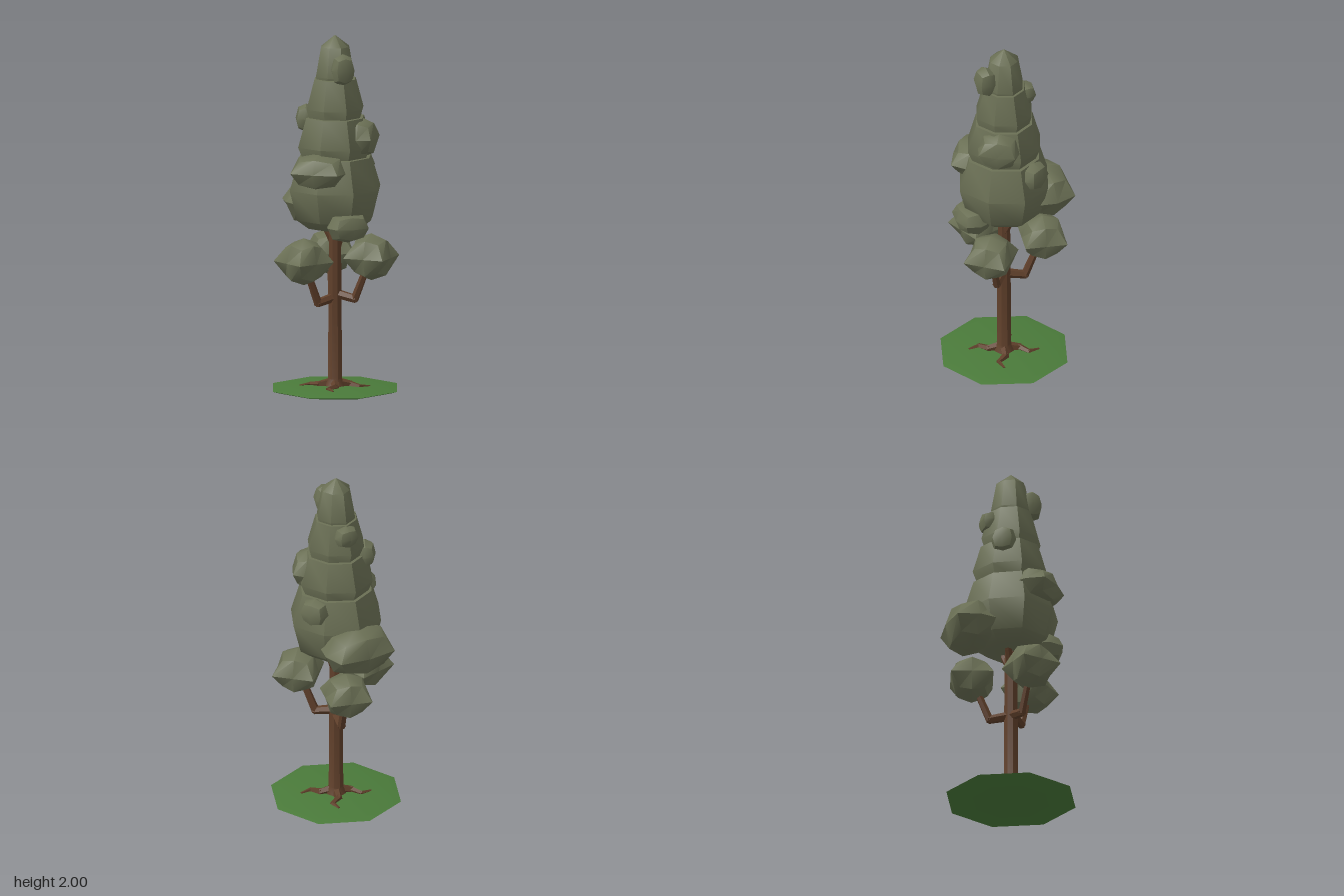
import * as THREE from 'three';
import { toCreasedNormals } from 'three/addons/utils/BufferGeometryUtils.js';

const mat = (name, color) => new THREE.MeshStandardMaterial({ name, color });

export function createModel() {
  const tree = new THREE.Group();
  tree.name = 'tree';
  const leaf = mat('olive foliage', 0x6b7055);
  const bark = mat('brown bark', 0x5f3f2a);
  const grass = mat('grass green', 0x4a7a3a);

  const add = (geometry, material, name, crease = 0.78) => {
    const mesh = new THREE.Mesh(toCreasedNormals(geometry, crease), material);
    mesh.name = name;
    tree.add(mesh);
    return mesh;
  };

  // eight-sided turned solid; the diagonal corners are pushed out a little
  const octagon = (profile, diagonal) => {
    const g = new THREE.LatheGeometry(profile.map(([r, y]) => new THREE.Vector2(r, y)), 8);
    const p = g.attributes.position;
    for (let i = 0; i < p.count; i++) {
      const x = p.getX(i), z = p.getZ(i);
      if (Math.abs(x) > 1e-4 && Math.abs(z) > 1e-4) p.setXYZ(i, x * diagonal, p.getY(i), z * diagonal);
    }
    return g;
  };

  // rounded leaf clump: a 2x2x2 box with edges and corners drawn in
  const clump = (name, pos, size, turn = 0, rim = 0.78) => {
    const g = new THREE.BoxGeometry(2, 2, 2, 2, 2, 2);
    const p = g.attributes.position;
    const v = new THREE.Vector3();
    for (let i = 0; i < p.count; i++) {
      v.fromBufferAttribute(p, i);
      const n = Math.round(Math.abs(v.x) + Math.abs(v.y) + Math.abs(v.z));
      const k = n === 3 ? 0.6 : n === 2 ? (Math.abs(v.y) < 0.1 ? rim : 0.75) : 1;
      v.multiplyScalar(k);
      p.setXYZ(i, v.x * size[0], v.y * size[1], v.z * size[2]);
    }
    const mesh = add(g, leaf, name);
    mesh.position.set(...pos);
    mesh.rotation.y = turn;
  };

  // tapering limb through a few points
  const limb = (name, points, r0, r1, sides = 6) => {
    const group = new THREE.Group();
    group.name = name;
    const pts = points.map((a) => new THREE.Vector3(...a));
    const n = pts.length - 1;
    for (let i = 0; i < n; i++) {
      const dir = pts[i + 1].clone().sub(pts[i]);
      const ra = r0 + ((r1 - r0) * i) / n, rb = r0 + ((r1 - r0) * (i + 1)) / n;
      const g = new THREE.CylinderGeometry(rb, ra, dir.length() + ra * 0.7, sides);
      const seg = add(g, bark, name + 'Segment');
      seg.position.copy(pts[i]).addScaledVector(dir, 0.5);
      seg.quaternion.setFromUnitVectors(new THREE.Vector3(0, 1, 0), dir.normalize());
      group.add(seg);
    }
    tree.add(group);
  };

  // grass disc
  add(octagon([[0, 0.004], [0.33, 0.006], [0.372, 0.018], [0.32, 0.028], [0, 0.03]], 1), grass, 'grassDisc', 1);

  // trunk with a small flare
  add(octagon([[0, 0.02], [0.06, 0.025], [0.042, 0.07], [0.039, 0.55], [0.034, 1.05], [0, 1.05]], 1), bark, 'trunk');

  // roots
  for (let i = 0; i < 4; i++) {
    const turn = (i * Math.PI) / 2 + 0.28;
    const at = (r, a, y) => [r * Math.sin(turn + a), y, r * Math.cos(turn + a)];
    limb('root', [at(0.02, 0, 0.05), at(0.085, 0.15, 0.036), at(0.14, -0.15, 0.03), at(0.19, 0.06, 0.026)], 0.026, 0.008, 5);
  }

  // three side branches, each carrying a leaf clump
  for (let i = 0; i < 3; i++) {
    const a = (i * 2 * Math.PI) / 3;
    const drop = i === 0 ? 0 : -0.02;
    const at = (r, y) => [r * Math.cos(a), y + drop, r * Math.sin(a)];
    limb('branch', [at(0.02, 0.545), at(0.118, 0.525), at(0.185, 0.69)], 0.027, 0.019);
    clump('branchClump', at(0.217, 0.768), [0.118, 0.132, 0.12], -a, 1);
  }

  // short forks under the crown
  limb('fork', [[0.01, 0.82, -0.01], [0.02, 0.9, -0.05], [0.03, 1.0, -0.08]], 0.024, 0.018);
  limb('fork', [[-0.01, 0.84, 0], [-0.05, 0.92, 0.01], [-0.08, 1.0, 0.02]], 0.024, 0.018);

  // stacked crown tiers
  const tiers = [
    [[0, 0.91], [0.15, 0.92], [0.215, 0.97], [0.258, 1.14], [0.205, 1.32], [0, 1.34]],
    [[0, 1.26], [0.17, 1.28], [0.21, 1.38], [0.165, 1.54], [0, 1.56]],
    [[0, 1.5], [0.14, 1.51], [0.162, 1.59], [0.118, 1.755], [0, 1.77]],
    [[0, 1.71], [0.095, 1.72], [0.109, 1.77], [0.08, 1.935], [0, 2.0]],
  ];
  tiers.forEach((t) => add(octagon(t, 1.05), leaf, 'crownTier'));

  // clumps bulging from the crown
  const q = Math.PI / 4;
  clump('lowerFrontClump', [0.135, 0.95, 0.14], [0.12, 0.085, 0.1], q);
  clump('lowerBackClump', [-0.165, 1.035, -0.165], [0.2, 0.14, 0.145], q, 0.85);
  clump('frontClump', [-0.02, 1.255, 0.175], [0.16, 0.105, 0.125], 0.1, 0.85);
  clump('backClump', [0.065, 1.25, -0.195], [0.085, 0.08, 0.07], -0.3);
  clump('leftClump', [0.15, 1.43, -0.025], [0.09, 0.112, 0.12], 0.15, 0.85);
  clump('rightClump', [-0.155, 1.53, 0.04], [0.06, 0.08, 0.07], 0.3);
  clump('upperBackClump', [-0.08, 1.69, -0.09], [0.07, 0.065, 0.06], q);
  clump('topClump', [0.08, 1.82, 0.08], [0.066, 0.09, 0.062], q);

  return tree;
}
